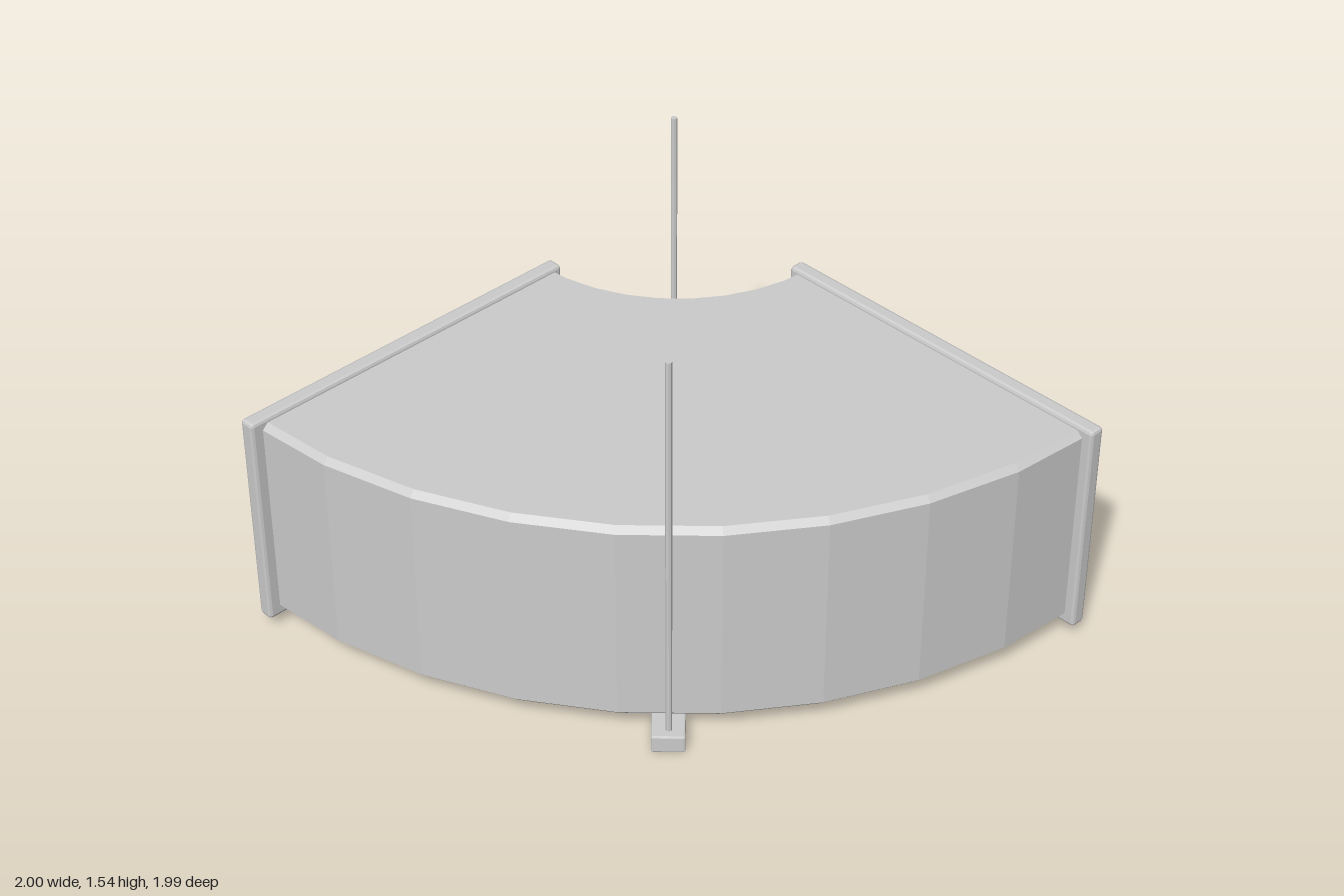
import * as THREE from 'three';
import { RoundedBoxGeometry } from 'three/addons/geometries/RoundedBoxGeometry.js';

export function createModel() {
  const model = new THREE.Group();
  model.name = 'ductElbow';
  const material = new THREE.MeshStandardMaterial({ color: 0xcccccc, flatShading: true });

  const add = (name, geometry, x, y, z, turn = 0) => {
    const mesh = new THREE.Mesh(geometry, material);
    mesh.name = name;
    mesh.position.set(x, y, z);
    mesh.rotation.y = turn;
    model.add(mesh);
  };
  // Box with a single small chamfer on every edge
  const chamferBox = (w, h, d, r) => new RoundedBoxGeometry(w, h, d, 1, r);

  // Curved duct: chamfered rectangular section swept a quarter turn about the corner
  const inner = 0.64, outer = 1.955, low = 0.07, high = 0.857, c = 0.022;
  const section = [
    [inner + c, low], [outer - c, low], [outer, low + c], [outer, high - c],
    [outer - c, high], [inner + c, high], [inner, high - c], [inner, low + c],
    [inner + c, low],
  ].map(([r, y]) => new THREE.Vector2(r, y));
  add('elbowDuct', new THREE.LatheGeometry(section, 9, -Math.PI / 2, Math.PI / 2), 0.995, 0, -0.995);

  // Closed end flanges
  add('backFlange', chamferBox(1.37, 0.824, 0.058, 0.012), -0.315, 0.462, -0.968);
  add('leftFlange', chamferBox(0.058, 0.824, 1.37, 0.012), 0.968, 0.462, 0.31);

  // Support bar running diagonally under the duct
  add('supportBar', chamferBox(1.503, 0.067, 0.113, 0.006), 0.0825, 0.0335, -0.085, Math.PI / 4);

  // Hanger rods rising from the ends of the bar
  for (const [name, x, z] of [['outerHangerRod', -0.42, 0.42], ['innerHangerRod', 0.574, -0.582]]) {
    add(name, new THREE.CylinderGeometry(0.011, 0.011, 1.51, 8), x, 0.785, z);
  }
  return model;
}
